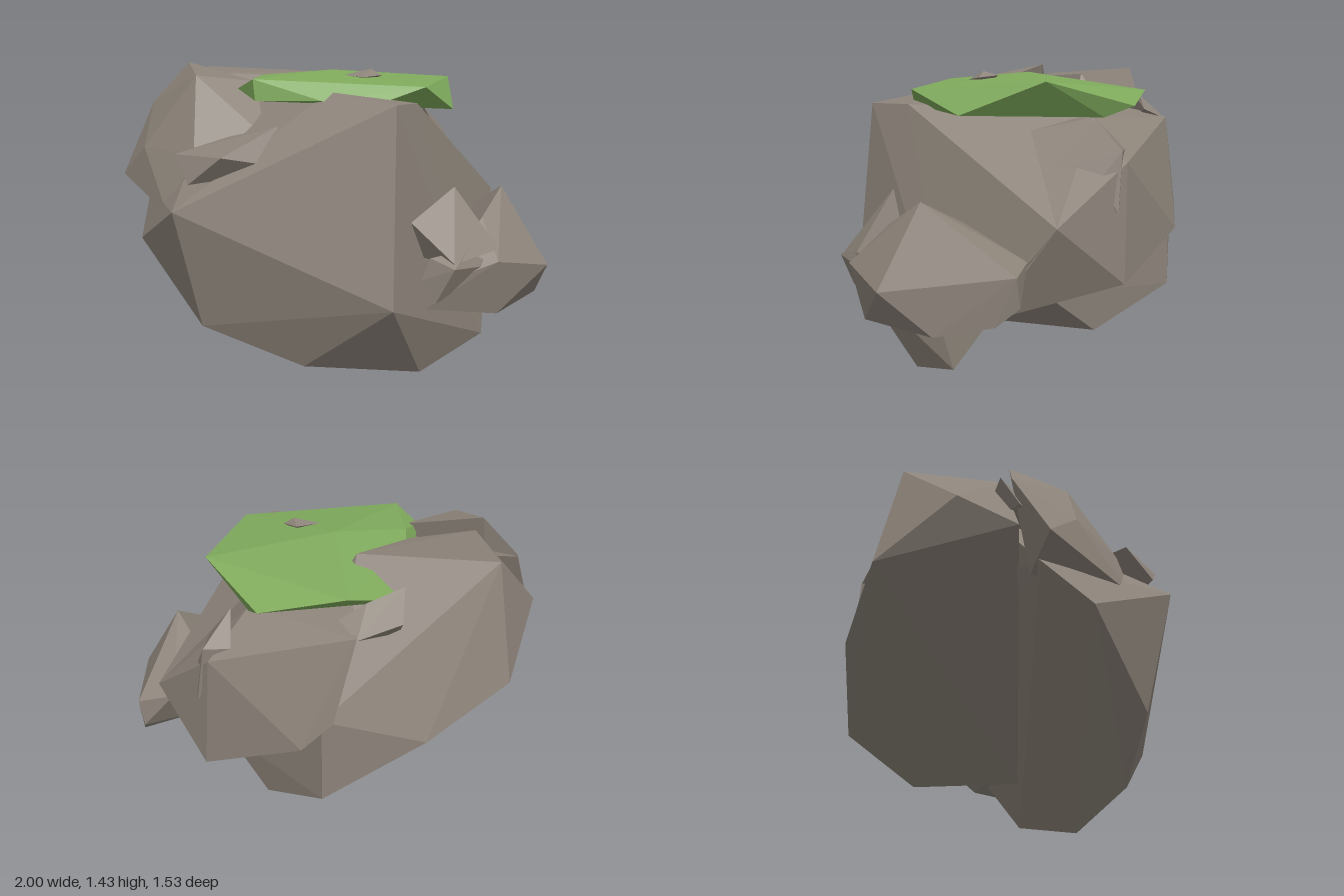
import * as THREE from 'three';
import { ConvexGeometry } from 'three/addons/geometries/ConvexGeometry.js';

export function createModel() {
  const group = new THREE.Group();
  const stone = new THREE.MeshStandardMaterial({ color: 0x8c8379 });
  stone.name = 'stone';
  const moss = new THREE.MeshStandardMaterial({ color: 0x7faa5c });
  moss.name = 'moss';

  // Each chunk is the faceted hull of a few corner points
  function chunk(name, material, corners) {
    const points = corners.map((c) => new THREE.Vector3(...c));
    const mesh = new THREE.Mesh(new ConvexGeometry(points), material);
    mesh.name = name;
    group.add(mesh);
  }

  // Large domed boulder with a flat slanting underside
  chunk('mainBoulder', stone, [
    [0.42, 0, 0.43], [-0.11, 0.08, 0.6], [-0.56, 0.27, 0.62], [-0.88, 0.62, 0.36],
    [0.74, 0.11, 0.16], [0.84, 0.77, -0.31], [0.25, 1.22, -0.42], [0.28, 0.38, 0.77],
    [-0.66, 0.8, 0.74], [0.29, 1.25, 0.67], [0, 1.3, 0.46], [-0.88, 0.82, 0.14],
    [-0.6, 1.25, -0.1], [0.39, 1.25, 0.46],
  ]);

  // Slabs leaning against the back
  chunk('lowerBackSlab', stone, [
    [0.3, 0.22, 0.12], [0.35, 0.21, -0.41], [0.1, 0.39, -0.73], [0.1, 0.8, -0.73],
    [0.55, 0.42, -0.21], [-0.36, 0.67, -0.72], [-0.74, 0.88, -0.58], [-0.68, 1.41, -0.47],
    [-0.91, 1.12, -0.22], [-0.08, 1.385, -0.28], [-0.34, 1.37, -0.07], [-0.66, 1.38, -0.01],
    [-0.88, 1, 0.05],
  ]);
  chunk('upperBackSlab', stone, [
    [0.84, 0.77, -0.31], [0.77, 0.33, 0.05], [0.62, 0.5, -0.57], [0.19, 0.68, -0.765],
    [0.05, 0.8, -0.75], [-0.05, 1.18, -0.7], [0.58, 1.02, -0.57], [0.4, 1.2, -0.4],
    [-0.05, 1.25, -0.4], [0.42, 1.12, -0.05],
  ]);
  chunk('backShard', stone, [
    [0.48, 1.2, -0.42], [0.48, 1.07, -0.55], [0.64, 0.81, -0.54],
    [0.64, 0.95, -0.46], [0.6, 1.07, -0.55], [0.6, 0.97, -0.2],
  ]);
  chunk('backTopShard', stone, [
    [-0.05, 1.17, -0.7], [-0.27, 1.32, -0.5], [-0.25, 1.2, -0.62],
    [0.02, 1.22, -0.6], [-0.1, 1.28, -0.57], [-0.25, 1.1, -0.5],
  ]);

  // Rocks on the model's right flank
  chunk('flankRock', stone, [
    [-1, 0.9, 0.17], [-0.88, 1.24, 0.02], [-0.7, 1.43, 0.02], [-0.62, 1.37, 0.3],
    [-0.87, 1.04, 0.3], [-0.72, 0.76, 0.55], [-0.31, 1.23, 0.27], [-0.35, 1.34, 0.2],
    [-0.3, 1.1, 0.4], [-0.6, 1.02, 0.52], [-0.8, 0.8, 0.1],
  ]);
  chunk('flankShard', stone, [
    [-0.68, 1.03, 0.55], [-0.23, 1.15, 0.53], [-0.45, 1.03, 0.73],
    [-0.14, 0.97, 0.6], [-0.6, 0.91, 0.68], [-0.45, 1.1, 0.45],
  ]);
  chunk('flankSplinter', stone, [
    [-0.93, 1.07, 0.05], [-0.73, 1.27, -0.05], [-0.4, 1.3, -0.1],
    [-0.66, 1.2, 0.15], [-0.87, 1.25, -0.03], [-0.33, 1.28, 0.25],
  ]);

  // Cluster on the model's left flank
  chunk('clusterRock', stone, [
    [0.8, 0.86, 0.28], [1, 0.51, 0.41], [0.97, 0.59, -0.17], [0.8, 0.62, -0.18],
    [0.95, 0.46, -0.18], [0.97, 0.38, -0.08], [0.99, 0.33, 0.18], [0.75, 0.32, 0.56],
    [0.42, 0.38, 0.72], [0.45, 0.48, 0.72], [0.74, 0.57, 0.63], [0.6, 0.6, 0.3],
    [0.7, 0.76, 0.12], [0.68, 0.42, 0], [0.69, 0.74, 0.46],
  ]);
  chunk('clusterCap', stone, [
    [0.36, 0.74, 0.62], [0.56, 0.88, 0.48], [0.75, 0.62, 0.59], [0.54, 0.58, 0.73],
    [0.42, 0.58, 0.6], [0.6, 0.55, 0.4],
  ]);
  chunk('clusterPebble', stone, [
    [0.4, 0.5, 0.7], [0.44, 0.6, 0.7], [0.6, 0.63, 0.66],
    [0.54, 0.56, 0.75], [0.46, 0.4, 0.72], [0.72, 0.55, 0.6],
  ]);

  // Moss cap with a pebble poking through
  chunk('mossCap', moss, [
    [0, 1.395, -0.03], [0.59, 1.36, -0.22], [0.43, 1.32, 0.43], [-0.34, 1.355, 0.46],
    [-0.43, 1.31, 0.28], [-0.34, 1.37, 0.05], [0.36, 1.25, -0.58], [-0.02, 1.31, -0.6],
    [-0.27, 1.24, -0.47], [0.58, 1.21, 0.17], [0.4, 1.2, -0.45],
    [-0.33, 1.26, 0.47], [-0.03, 1.26, 0.5], [0.2, 1.24, 0.49],
  ]);
  chunk('topPebble', stone, [
    [0.06, 1.37, 0.15], [0.18, 1.38, 0.08], [0.24, 1.37, 0.16],
    [0.15, 1.36, 0.23], [0.19, 1.4, 0.15], [0.15, 1.32, 0.15],
  ]);

  return group;
}
